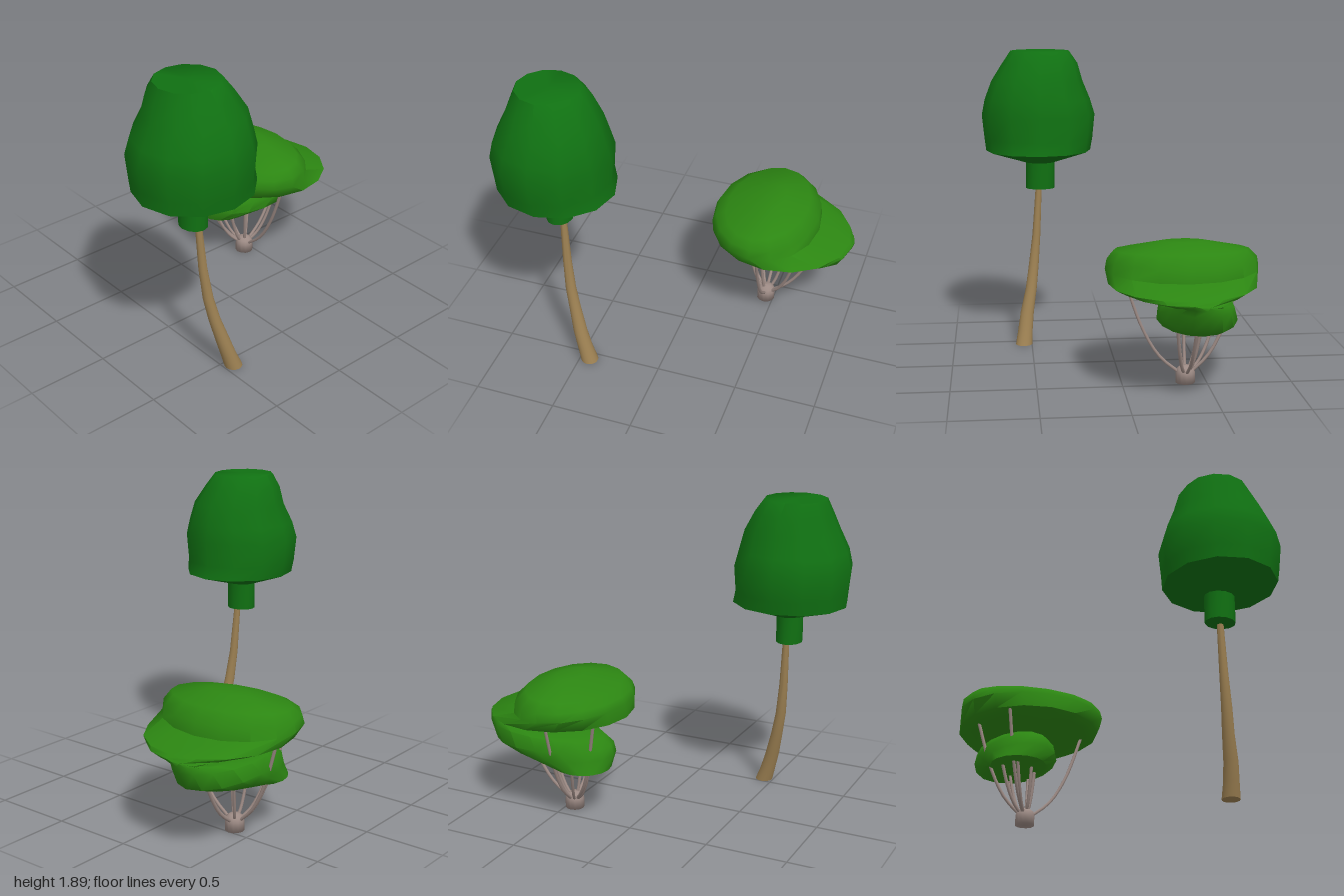
import * as THREE from 'three';
import { toCreasedNormals } from 'three/addons/utils/BufferGeometryUtils.js';

const material = (color) => new THREE.MeshStandardMaterial({ color });
const darkLeaf = material(0x107012);
const lightLeaf = material(0x2c8612);
const bark = material(0x9c8052);
const paleBark = material(0x9c8a84);

// Skin over stacked elliptical rings: [left x, right x, front z, front y, back z, back y]
function loft(rings, sides, crease = 1) {
  const pos = [];
  const index = [];
  for (const [x0, x1, zf, yf, zb, yb] of rings) {
    for (let j = 0; j < sides; j++) {
      const t = (j / sides) * Math.PI * 2;
      const k = (Math.sin(t) + 1) / 2;
      pos.push((x0 + x1) / 2 + ((x1 - x0) / 2) * Math.cos(t), yb + (yf - yb) * k, zb + (zf - zb) * k);
    }
  }
  const last = rings.length - 1;
  const base = rings.length * sides;
  for (const [x0, x1, zf, yf, zb, yb] of [rings[0], rings[last]]) {
    pos.push((x0 + x1) / 2, (yf + yb) / 2, (zf + zb) / 2);
  }
  for (let j = 0; j < sides; j++) {
    const n = (j + 1) % sides;
    for (let i = 0; i < last; i++) {
      const a = i * sides + j, b = i * sides + n;
      index.push(a, a + sides, b, b, a + sides, b + sides);
    }
    index.push(base, j, n, base + 1, last * sides + n, last * sides + j);
  }
  const geometry = new THREE.BufferGeometry();
  geometry.setAttribute('position', new THREE.Float32BufferAttribute(pos, 3));
  geometry.setIndex(index);
  return toCreasedNormals(geometry, crease);
}

function addMesh(parent, name, geometry, mat) {
  const mesh = new THREE.Mesh(geometry, mat);
  mesh.name = name;
  parent.add(mesh);
}

function createTallTree() {
  const tree = new THREE.Group();
  tree.name = 'tallTree';

  // Leaning, tapering trunk: x, y, z, radius
  const trunk = [
    [0.55, 0, 0.44, 0.054], [0.54, 0.09, 0.47, 0.047], [0.526, 0.2, 0.502, 0.043], [0.497, 0.35, 0.54, 0.036],
    [0.478, 0.5, 0.57, 0.032], [0.458, 0.7, 0.59, 0.026], [0.44, 1.0, 0.605, 0.02], [0.435, 1.15, 0.61, 0.018],
  ].map(([x, y, z, r]) => [x - r, x + r, z + r, y, z - r, y]);
  addMesh(tree, 'trunk', loft(trunk, 16), bark);

  // Crown with a narrow sleeve below: y, left x, right x, back z, front z
  const crown = [
    [1.0, 0.335, 0.52, 0.55, 0.71], [1.17, 0.335, 0.52, 0.55, 0.71], [1.25, 0.1, 0.775, 0.27, 0.98],
    [1.33, 0.085, 0.785, 0.29, 0.985], [1.48, 0.07, 0.8, 0.28, 1.0], [1.58, 0.1, 0.78, 0.305, 0.975],
    [1.7, 0.15, 0.735, 0.335, 0.915], [1.81, 0.18, 0.665, 0.4, 0.875], [1.89, 0.235, 0.61, 0.46, 0.84],
  ].map(([y, x0, x1, zb, zf]) => [x0, x1, zf, y, zb, y]);
  addMesh(tree, 'crown', loft(crown, 12), darkLeaf);
  return tree;
}

function createLowTree() {
  const tree = new THREE.Group();
  tree.name = 'lowTree';

  // Folded crown: a small lower lobe joined at the back to a broad upper lobe
  const crown = [
    [-0.63, -0.3, -0.16, 0.33, -0.5, 0.33],
    [-0.64, -0.2, -0.15, 0.41, -0.8, 0.375],
    [-0.65, -0.2, -0.16, 0.47, -0.94, 0.425],
    [-0.62, -0.22, -0.22, 0.51, -0.99, 0.53],
    [-0.56, -0.26, -0.5, 0.525, -1.0, 0.57],
    [-0.5, -0.25, -0.87, 0.555, -1.0, 0.59],
    [-0.7, 0.03, -0.15, 0.61, -1.0, 0.6],
    [-0.77, 0.09, -0.1, 0.635, -0.98, 0.62],
    [-0.8, 0.1, -0.105, 0.72, -0.78, 0.67],
    [-0.79, 0.09, -0.125, 0.76, -0.77, 0.745],
    [-0.74, 0.05, -0.19, 0.79, -0.7, 0.815],
    [-0.48, -0.22, -0.4, 0.855, -0.55, 0.86],
  ];
  addMesh(tree, 'foldedCrown', loft(crown, 16), lightLeaf);

  // Swollen root
  const root = [[0, 0], [0.058, 0], [0.058, 0.06], [0.05, 0.085], [0.03, 0.1], [0, 0.105]];
  const rootGeometry = new THREE.LatheGeometry(root.map(([r, y]) => new THREE.Vector2(r, y)), 12);
  rootGeometry.translate(-0.375, 0, -0.45);
  addMesh(tree, 'root', rootGeometry, paleBark);

  // Thin stems fanning out from the root, given by their tips
  const stems = new THREE.Group();
  stems.name = 'stems';
  tree.add(stems);
  const tips = [
    [-0.01, 0.64, -0.46], [-0.69, 0.64, -0.46], [-0.57, 0.64, -0.2], [-0.4, 0.58, -0.8],
    [-0.56, 0.36, -0.36], [-0.49, 0.36, -0.27], [-0.45, 0.36, -0.55], [-0.38, 0.36, -0.33],
    [-0.3, 0.37, -0.64], [-0.33, 0.36, -0.42],
  ];
  for (const [x, y, z] of tips) {
    const at = (f, h) => new THREE.Vector3(-0.375 + (x + 0.375) * f, 0.05 + (y - 0.05) * h, -0.45 + (z + 0.45) * f);
    const path = new THREE.CatmullRomCurve3([at(0.06, 0), at(0.42, 0.19), at(0.7, 0.48), at(1, 1)]);
    addMesh(stems, 'stem', new THREE.TubeGeometry(path, 12, 0.01, 6), paleBark);
  }
  return tree;
}

export function createModel() {
  const model = new THREE.Group();
  model.name = 'trees';
  model.add(createTallTree(), createLowTree());
  return model;
}
